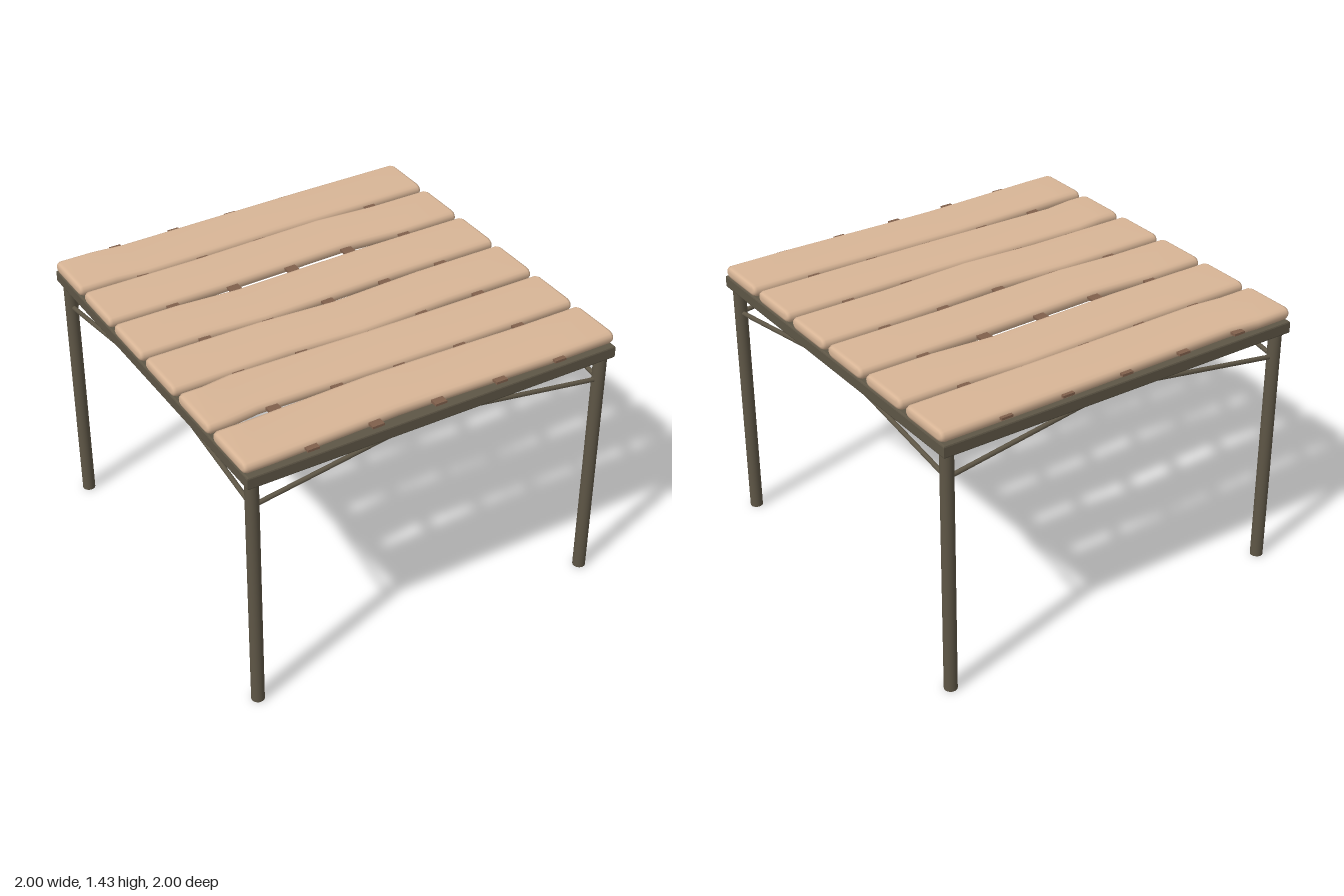
import * as THREE from 'three';

const metal = new THREE.MeshStandardMaterial({ color: 0x5e5646 });
const wood = new THREE.MeshStandardMaterial({ color: 0xd8b596 });
const strapBrown = new THREE.MeshStandardMaterial({ color: 0x80604c });

function add(parent, name, geometry, material) {
  const mesh = new THREE.Mesh(geometry, material);
  mesh.name = name;
  parent.add(mesh);
  return mesh;
}

// Round bar between two points
function bar(parent, name, from, to, radius, sides) {
  const dir = to.clone().sub(from);
  const mesh = add(parent, name, new THREE.CylinderGeometry(radius, radius, dir.length(), sides), metal);
  mesh.position.copy(from).add(to).multiplyScalar(0.5);
  mesh.quaternion.setFromUnitVectors(new THREE.Vector3(0, 1, 0), dir.normalize());
}

// Square outline of a given half size
function square(Type, h) {
  const s = new Type();
  s.moveTo(-h, -h);
  s.lineTo(h, -h);
  s.lineTo(h, h);
  s.lineTo(-h, h);
  s.closePath();
  return s;
}

// Rounded plank section as [z, y], from the top towards +z and round
const quarter = [[0.119, 0.0325], [0.137, 0.026], [0.146, 0.014]];
const plus = [...quarter, [0.149, 0], ...quarter.map(([z, y]) => [z, -y]).reverse()];
const section = [...plus, ...plus.map(([z, y]) => [-z, -y])];

// Slightly crooked plank: knots are [x, sideways shift]
function plankGeometry(knots) {
  const stations = [[-1, 0, 0.018], [-0.994, 0, 0.006], [-0.98, 0, 0], ...knots.map(([x, d]) => [x, d, 0]),
    [0.98, 0, 0], [0.994, 0, 0.006], [1, 0, 0.018]];
  const n = section.length;
  const pos = [];
  const index = [];
  for (const [x, shift, inset] of stations) {
    for (const [z, y] of section) {
      pos.push(x, y * (1 - inset / 0.0325), z * (1 - inset / 0.149) + shift);
    }
  }
  for (let i = 0; i < stations.length - 1; i++) {
    for (let j = 0; j < n; j++) {
      const a = i * n + j, b = i * n + (j + 1) % n;
      index.push(a, b, a + n, b, b + n, a + n);
    }
  }
  const last = (stations.length - 1) * n;
  const c0 = pos.length / 3;
  pos.push(-1, 0, 0, 1, 0, 0);
  for (let j = 0; j < n; j++) {
    const k = (j + 1) % n;
    index.push(c0, k, j, c0 + 1, last + j, last + k);
  }
  const g = new THREE.BufferGeometry();
  g.setAttribute('position', new THREE.Float32BufferAttribute(pos, 3));
  g.setIndex(index);
  g.computeVertexNormals();
  return g;
}

export function createModel() {
  const group = new THREE.Group();
  group.name = 'slattedTable';

  // Square top frame with softened edges
  const outline = square(THREE.Shape, 0.987);
  outline.holes.push(square(THREE.Path, 0.923));
  const frame = new THREE.ExtrudeGeometry(outline, {
    depth: 0.049, bevelEnabled: true, bevelSize: 0.008, bevelThickness: 0.008, bevelSegments: 2
  });
  frame.rotateX(-Math.PI / 2);
  add(group, 'topFrame', frame, metal).position.y = 1.308;

  // Legs, each with two braces rising to the middle of the frame sides
  for (const sx of [-1, 1]) {
    for (const sz of [-1, 1]) {
      const x = sx * 0.95, z = sz * 0.945;
      bar(group, 'leg', new THREE.Vector3(x, 0, z), new THREE.Vector3(x, 1.31, z), 0.033, 20);
      const low = new THREE.Vector3(x, 1.165, z);
      bar(group, 'brace', low, new THREE.Vector3(0, 1.315, z), 0.012, 10);
      bar(group, 'brace', low, new THREE.Vector3(x, 1.315, 0), 0.012, 10);
    }
  }

  // Planks, back to front: centre z and bends
  const planks = [
    [-0.836, [[-0.8, 0], [-0.64, 0.016], [0.1, 0.004], [0.4, 0]]],
    [-0.503, [[-0.4, 0], [0.33, -0.025], [0.65, 0]]],
    [-0.169, [[-0.67, 0], [-0.34, 0.022], [0.4, 0]]],
    [0.163, [[-0.4, 0], [0, 0.025], [0.5, 0]]],
    [0.497, [[-0.88, 0], [-0.73, -0.021], [0, -0.003], [0.4, 0]]],
    [0.829, [[-0.85, 0], [-0.2, -0.021], [0.05, -0.018], [0.65, 0]]]
  ];
  for (const [z, knots] of planks) {
    add(group, 'plank', plankGeometry(knots), wood).position.set(0, 1.3975, z);
  }

  // Flat straps threaded through the planks
  for (let i = -2; i <= 2; i++) {
    add(group, 'strap', new THREE.BoxGeometry(0.062, 0.012, 2), strapBrown).position.set(i / 3, 1.4, 0);
  }
  return group;
}
